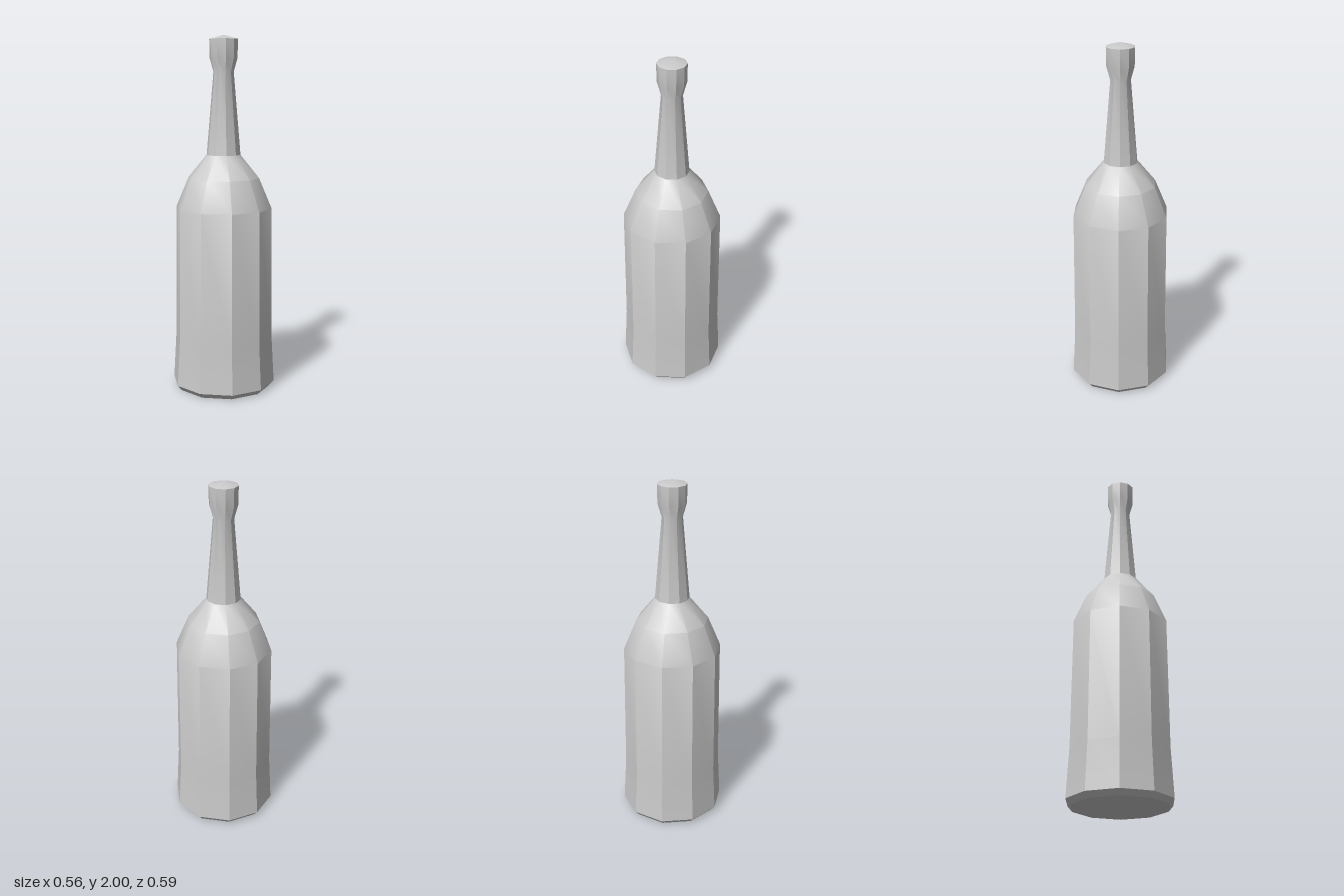
import * as THREE from 'three';
import { toCreasedNormals } from 'three/addons/utils/BufferGeometryUtils.js';

const SIDES = 10;
const CREASE = THREE.MathUtils.degToRad(33.5);

export function createModel() {
  const bottle = new THREE.Group();
  bottle.name = 'bottle';
  const material = new THREE.MeshStandardMaterial({ color: 0xcccccc });

  // Turn a [radius, height] profile, listed from bottom to top, into a ten-sided part
  function addTurned(name, profile) {
    const points = profile.map(([r, y]) => new THREE.Vector2(r, y));
    const geometry = toCreasedNormals(new THREE.LatheGeometry(points, SIDES), CREASE);
    const mesh = new THREE.Mesh(geometry, material);
    mesh.name = name;
    bottle.add(mesh);
  }

  // Flat bottom, chamfered foot, gently tapering body and rounded shoulder
  addTurned('body', [
    [0, 0], [0.268, 0], [0.294, 0.03], [0.279, 0.3],
    [0.273, 1.04], [0.202, 1.21], [0.096, 1.34],
  ]);

  // Slim neck flaring out to the lip
  addTurned('neck', [[0.096, 1.34], [0.057, 1.8], [0.078, 1.875], [0.08, 1.978]]);

  // Shallow domed top
  addTurned('cap', [[0.08, 1.978], [0, 2]]);

  return bottle;
}
